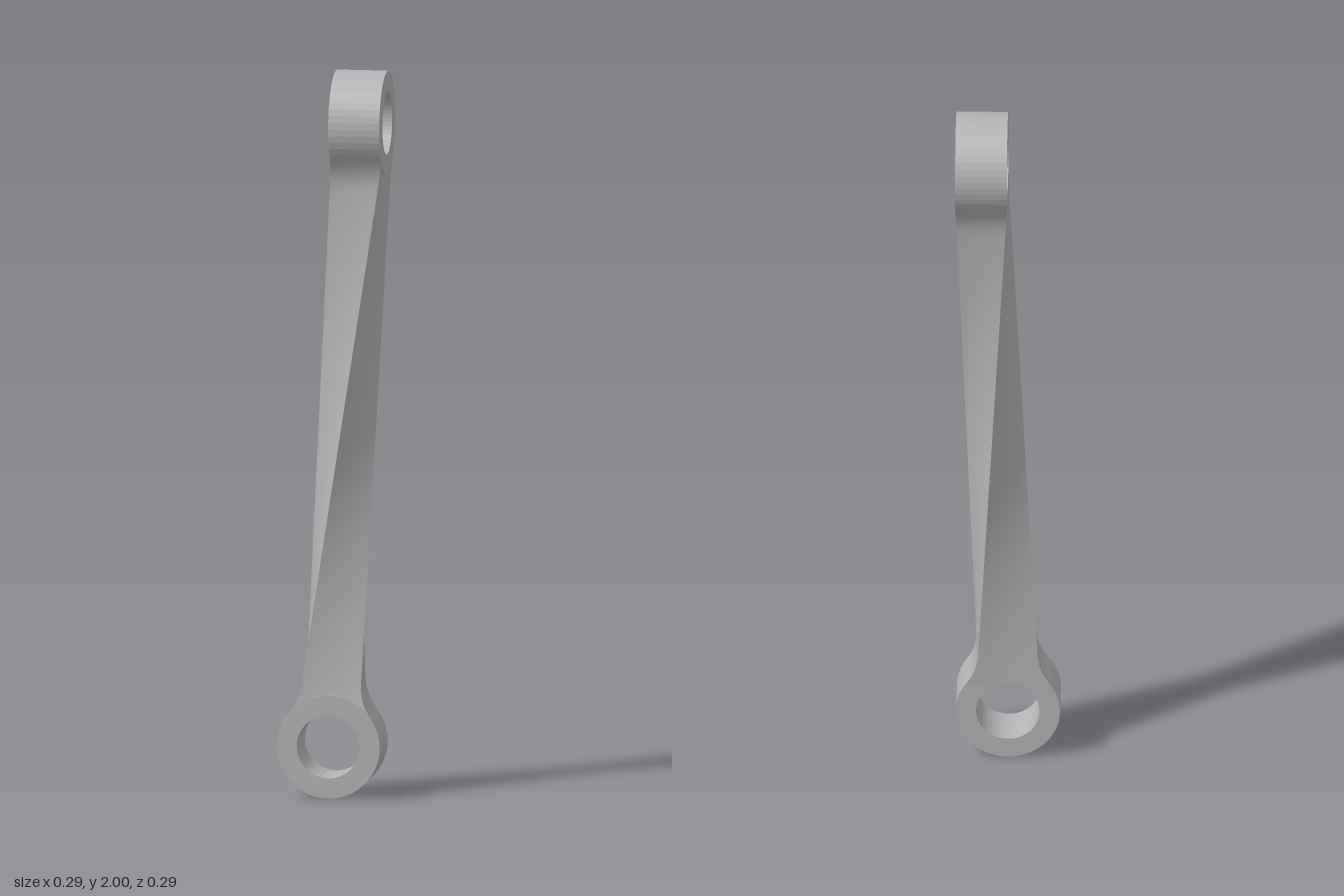
import * as THREE from 'three';

const R = 0.143, HOLE = 0.087, T = 0.142, HALF = 0.086;
const Y0 = R + HOLE, Y1 = 2 - Y0; // span of the twisted shank

// Ring with its bore along z, back face on z = 0
function eyeGeometry() {
  const shape = new THREE.Shape().absarc(0, 0, R, 0, Math.PI * 2, false);
  shape.holes.push(new THREE.Path().absarc(0, 0, HOLE, 0, Math.PI * 2, true));
  return new THREE.ExtrudeGeometry(shape, { depth: T, bevelEnabled: false, curveSegments: 24 });
}

// Half width of the bar at distance d from an eye, with a fillet flare
function halfWidth(d) {
  const u = Math.min(d / 0.1, 1);
  return HALF + 0.0275 * Math.pow(1 - u, 2.5);
}

// Corners of the cross-section at height y: the front side turns to +x on the way up
function section(y) {
  const t = (y - Y0) / (Y1 - Y0);
  const b = halfWidth(y - Y0), a = halfWidth(Y1 - y);
  const low = [[-b, T], [b, T], [b, 0], [-b, 0]];
  const high = [[T, a], [T, -a], [0, -a], [0, a]];
  return low.map(([x, z], i) => new THREE.Vector3(
    THREE.MathUtils.lerp(x, high[i][0], t), y, THREE.MathUtils.lerp(z, high[i][1], t)));
}

// Four ruled sides, each with its own vertices so the long edges stay sharp
function shankGeometry() {
  const heights = [];
  for (let i = 0; i <= 10; i++) heights.push(Y0 + i * 0.01);
  for (let i = 1; i < 40; i++) heights.push(Y0 + 0.1 + (Y1 - Y0 - 0.2) * i / 40);
  for (let i = 10; i >= 0; i--) heights.push(Y1 - i * 0.01);
  const n = 8, pos = [], index = [];
  for (let s = 0; s < 4; s++) {
    const base = pos.length / 3;
    heights.forEach((y, r) => {
      const c = section(y);
      for (let k = 0; k <= n; k++) {
        const p = c[s].clone().lerp(c[(s + 1) % 4], k / n);
        pos.push(p.x, p.y, p.z);
        if (r && k) {
          const q = base + r * (n + 1) + k, d = q - n - 1;
          index.push(d - 1, d, q, d - 1, q, q - 1);
        }
      }
    });
  }
  const g = new THREE.BufferGeometry();
  g.setAttribute('position', new THREE.Float32BufferAttribute(pos, 3));
  g.setIndex(index);
  g.computeVertexNormals();
  return g;
}

export function createModel() {
  const group = new THREE.Group();
  group.name = 'twistedLink';
  const metal = new THREE.MeshStandardMaterial({ color: 0xb4b4b4 });
  metal.name = 'grey metal';
  const add = (name, geometry) => {
    const mesh = new THREE.Mesh(geometry, metal);
    mesh.name = name;
    group.add(mesh);
  };
  add('lowerEye', eyeGeometry().translate(0, R, 0));
  add('upperEye', eyeGeometry().rotateY(Math.PI / 2).translate(0, 2 - R, 0));
  add('twistedShank', shankGeometry());
  return group;
}
